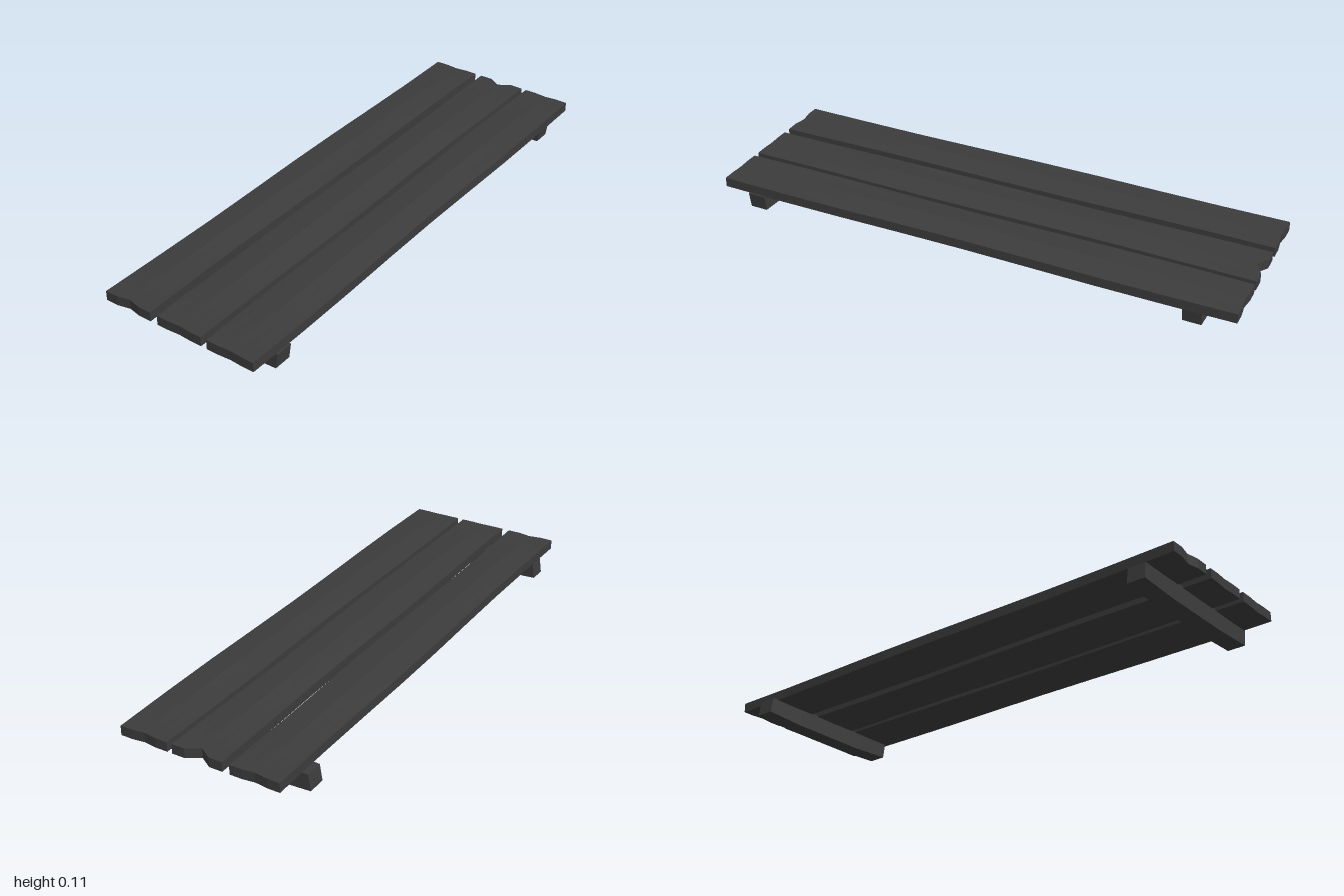
import * as THREE from 'three';

const material = new THREE.MeshStandardMaterial({ color: 0x3c3c3c, flatShading: true });

// Box whose vertices are moved by a rule
function warpedBox(name, size, segments, warp) {
  const geometry = new THREE.BoxGeometry(...size, ...segments);
  const pos = geometry.attributes.position;
  const v = new THREE.Vector3();
  for (let i = 0; i < pos.count; i++) {
    warp(v.fromBufferAttribute(pos, i));
    pos.setXYZ(i, v.x, v.y, v.z);
  }
  geometry.computeVertexNormals();
  const mesh = new THREE.Mesh(geometry, material);
  mesh.name = name;
  return mesh;
}

// Long board: crowned towards mid length, with roughly cut ends
function plank(name, x, frontNotch, backNotch) {
  const width = 0.19;
  const mesh = warpedBox(name, [width, 0.036, 2], [4, 1, 8], (v) => {
    const across = 1 - Math.abs(v.x) / (width / 2);
    const along = Math.min(1, (1 - Math.abs(v.z)) / 0.5);
    const edge = Math.sign(v.x) * (across < 0.01 ? 1 : 0);
    const end = Math.abs(v.z) > 0.99;
    if (v.y > 0) v.y += 0.001 * across + 0.009 * across * along;
    else v.y -= 0.003 * across * along;
    // Slightly wavy long edges
    v.x += edge * 0.003 * Math.sin(v.z * 5 + x * 20);
    // Shallow cuts in the ends
    if (end) v.z -= Math.sign(v.z) * (v.z > 0 ? frontNotch : backNotch) * Math.max(0, across * 2 - 1);
  });
  mesh.position.set(x, 0.085, 0);
  return mesh;
}

// Cross batten: sagging underside and leaning ends
function batten(name, x, z, width) {
  const mesh = warpedBox(name, [width, 0.06, 0.068], [4, 1, 1], (v) => {
    const across = Math.min(1, (1 - Math.abs(v.x) / (width / 2)) * 2);
    if (v.y < 0) v.y -= 0.008 * across;
    else v.y += 0.003 * across;
    v.x += v.y * 0.15;
  });
  mesh.position.set(x, 0.038, z);
  return mesh;
}

export function createModel() {
  const group = new THREE.Group();
  group.name = 'plankPanel';
  group.add(
    plank('rightPlank', -0.205, 0.01, 0.006),
    plank('middlePlank', 0.015, 0.003, 0.03),
    plank('leftPlank', 0.226, 0.003, 0.006),
    batten('frontBatten', 0.01, 0.859, 0.63),
    batten('backBatten', -0.01, -0.843, 0.63),
  );
  return group;
}
